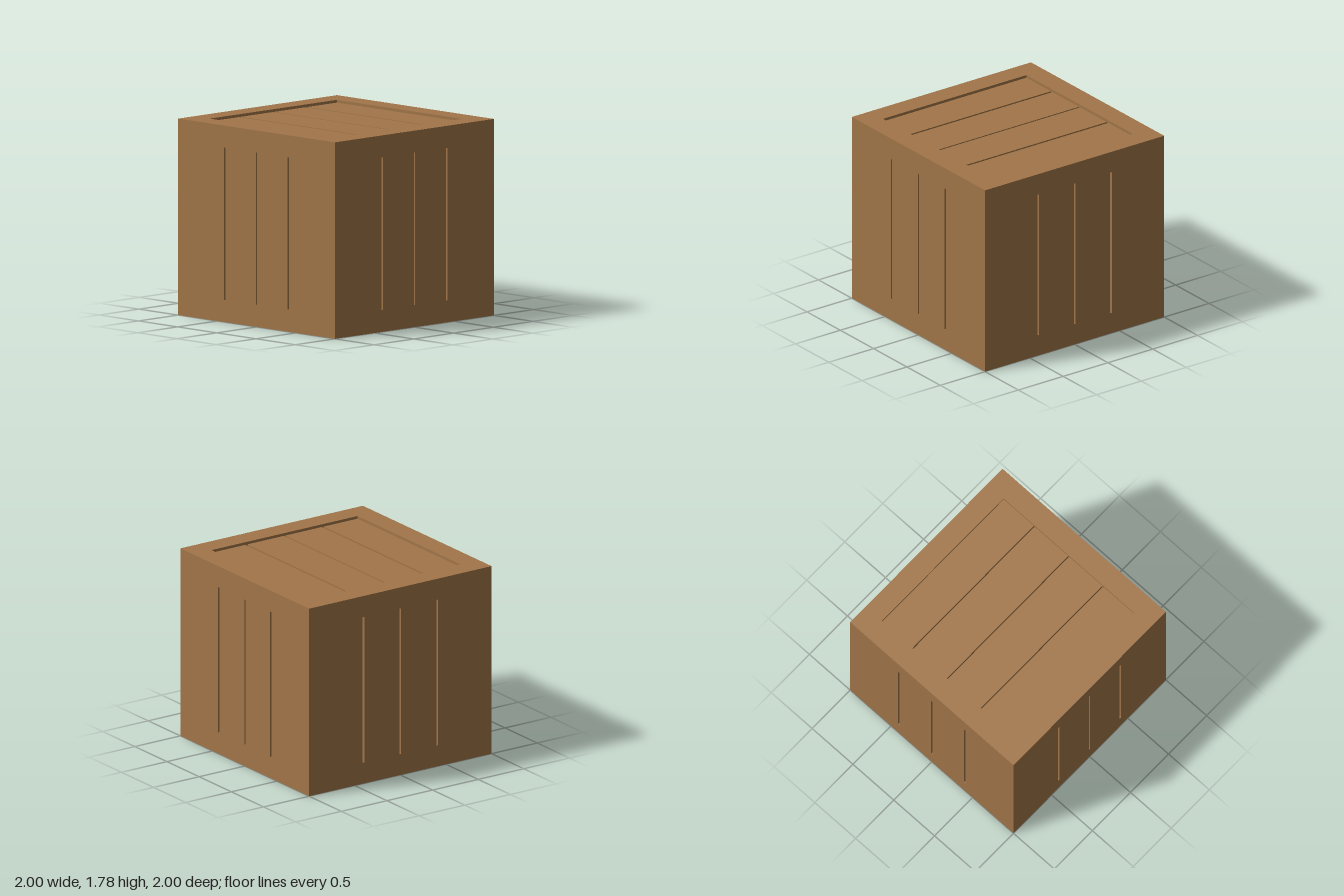
import * as THREE from 'three';

const H = 1.78;      // overall height
const F = 0.2;       // frame timber thickness
const IN = 1 - F;    // half width of the framed opening

export function createModel() {
  const wood = new THREE.MeshStandardMaterial({ color: 0xa17548, side: THREE.DoubleSide });
  wood.name = 'wood';
  const crate = new THREE.Group();
  crate.name = 'crate';

  const add = (parent, name, geometry, x, y, z) => {
    const mesh = new THREE.Mesh(geometry, wood);
    mesh.name = name;
    mesh.position.set(x, y, z);
    parent.add(mesh);
    return mesh;
  };
  // box given by its ranges on each axis
  const box = (parent, name, [x0, x1], [y0, y1], [z0, z1]) =>
    add(parent, name, new THREE.BoxGeometry(x1 - x0, y1 - y0, z1 - z0),
      (x0 + x1) / 2, (y0 + y1) / 2, (z0 + z1) / 2);

  // four plank ranges separated by three narrow gaps
  const planks = (inner, outer) => [[-IN, -outer], [-inner, -0.008], [0.008, inner], [outer, IN]];

  // corner posts
  for (const sx of [-1, 1]) for (const sz of [-1, 1]) {
    add(crate, 'cornerPost', new THREE.BoxGeometry(F, H, F), sx * (1 - F / 2), H / 2, sz * (1 - F / 2));
  }

  // four identical sides, each turned a quarter
  ['front', 'left', 'back', 'right'].forEach((side, i) => {
    const wall = new THREE.Group();
    wall.name = side + 'Side';
    wall.rotation.y = i * Math.PI / 2;
    crate.add(wall);
    box(wall, 'topRail', [-IN, IN], [H - F, H], [IN, 1]);
    for (const range of planks(0.395, 0.415)) box(wall, 'sidePlank', range, [F, H - F], [0.96, 1]);
    box(wall, 'sideBacking', [-IN, IN], [F, H - F], [0.88, 0.96]);
    // hollow bottom rail, open underneath
    add(wall, 'bottomRailOuterFace', new THREE.PlaneGeometry(2 * IN, F), 0, F / 2, 1);
    add(wall, 'bottomRailInnerFace', new THREE.PlaneGeometry(2 * IN, F), 0, F / 2, IN).rotation.y = Math.PI;
    add(wall, 'bottomRailTop', new THREE.PlaneGeometry(2 * IN, F), 0, F, 1 - F / 2).rotation.x = -Math.PI / 2;
  });

  // lid planks, slightly sunk inside the top frame
  const lid = new THREE.Group();
  lid.name = 'lid';
  crate.add(lid);
  for (const range of planks(0.408, 0.43)) box(lid, 'lidPlank', range, [1.715, 1.755], [-IN, IN]);
  box(lid, 'lidBacking', [-IN, IN], [1.66, 1.715], [-IN, IN]);

  return crate;
}
